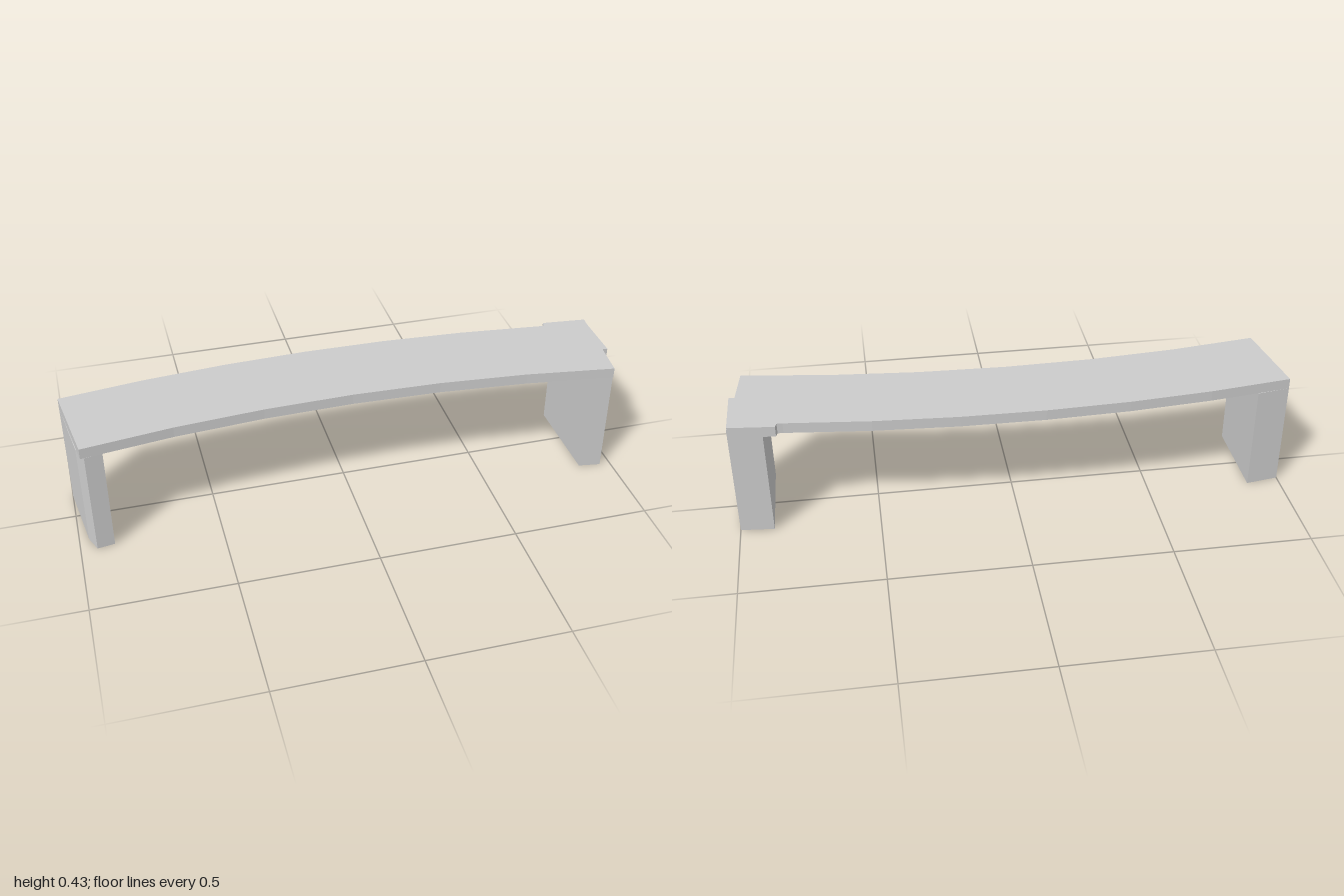
import * as THREE from 'three';

const material = new THREE.MeshStandardMaterial({ color: 0xcccccc, flatShading: true });

// Vertical prism from a plan outline of [x, z] points, between two heights
function prism(name, outline, bottom, top) {
  const shape = new THREE.Shape(outline.map(([x, z]) => new THREE.Vector2(x, z)));
  const geometry = new THREE.ExtrudeGeometry(shape, { depth: top - bottom, bevelEnabled: false });
  geometry.rotateX(Math.PI / 2).translate(0, top, 0);
  const mesh = new THREE.Mesh(geometry, material);
  mesh.name = name;
  return mesh;
}

// Points along a shallow bow z = z0 + k * x * x
function bow(x0, x1, z0, k, segments = 6) {
  return Array.from({ length: segments + 1 }, (_, i) => {
    const x = x0 + (x1 - x0) * i / segments;
    return [x, z0 + k * x * x];
  });
}

export function createModel() {
  const group = new THREE.Group();
  group.name = 'curvedBench';
  const under = 0.395, top = 0.434;

  // Curved seat with a small stepped tab at one back corner
  group.add(prism('seat', [
    ...bow(-0.955, 0.962, 0.12, 0.0868),
    [0.998, -0.15], [0.835, -0.166], [0.83, -0.147],
    ...bow(0.81, -1, -0.2, 0.08),
  ], under, top));

  // Leg with a chamfered front outer corner
  group.add(prism('rightLeg', [
    [-0.88, 0.188], [-0.942, 0.198], [-0.966, 0.14], [-1, -0.12], [-0.88, -0.139],
  ], 0, under));

  // Opposite leg
  group.add(prism('leftLeg', [
    [0.88, 0.188], [0.96, 0.2], [0.998, -0.15], [0.88, -0.16],
  ], 0, under));

  // Raised panel on the outside of that leg
  group.add(prism('leftLegPanel', [
    [0.96, 0.057], [1, 0.059], [1, -0.15], [0.96, -0.153],
  ], 0, 0.427));

  return group;
}
